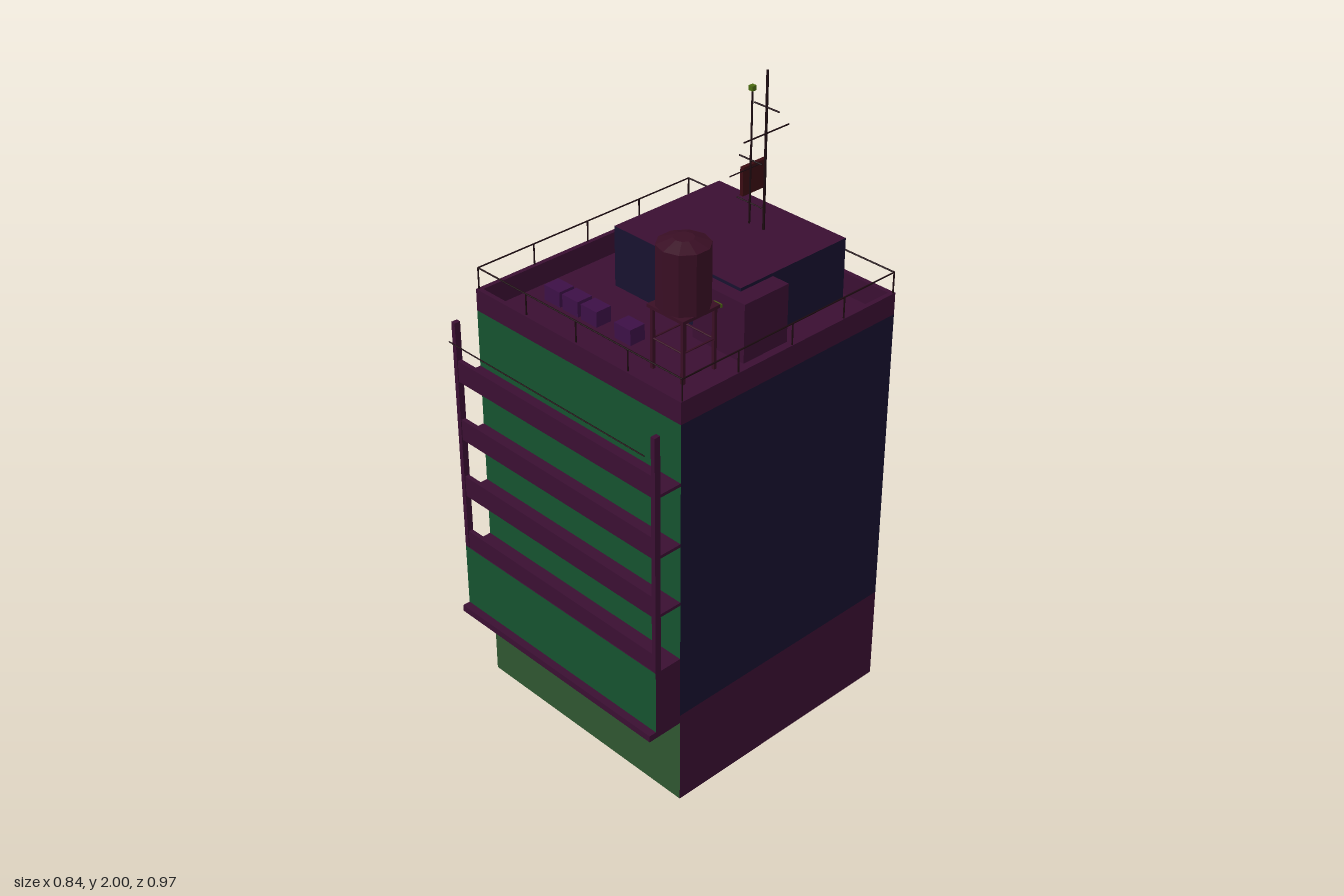
import * as THREE from 'three';

const mat = (color, side = THREE.FrontSide) =>
  new THREE.MeshStandardMaterial({ color, side, flatShading: true });
const PLUM = 0x3a0f32, NAVY = 0x17112f, GREEN = 0x15522f, MOSS = 0x2f5530;
const VIOLET = 0x3c1046, DARK = 0x1c0a10, RUST = 0x3a0c12, TANK = 0x390e24, LAMP = 0x4a6a10;

// Footprint of the tower and its main levels
const X = 0.42, Z0 = -0.48, Z1 = 0.365, BASE = 0.32, DECK = 1.315, TOP = 1.385;
const DEPTH = Z1 - Z0, ZM = (Z0 + Z1) / 2;

export function createModel() {
  const model = new THREE.Group();
  model.name = 'officeTower';

  const add = (parent, name, geometry, material) => {
    const mesh = new THREE.Mesh(geometry, material);
    mesh.name = name;
    parent.add(mesh);
    return mesh;
  };
  const group = (name) => {
    const g = new THREE.Group();
    g.name = name;
    model.add(g);
    return g;
  };
  // Box given by its lower and upper corners
  const box = (parent, name, a, b, material) => {
    const m = add(parent, name, new THREE.BoxGeometry(b[0] - a[0], b[1] - a[1], b[2] - a[2]),
      Array.isArray(material) ? material : mat(material));
    m.position.set((a[0] + b[0]) / 2, (a[1] + b[1]) / 2, (a[2] + b[2]) / 2);
    return m;
  };
  // Thin round bar between two points
  const bar = (parent, name, a, b, r = 0.003, color = DARK) => {
    const p = new THREE.Vector3(...a), d = new THREE.Vector3(...b).sub(p);
    const m = add(parent, name, new THREE.CylinderGeometry(r, r, d.length(), 6), mat(color));
    m.position.copy(p).addScaledVector(d, 0.5);
    m.quaternion.setFromUnitVectors(new THREE.Vector3(0, 1, 0), d.normalize());
    return m;
  };

  // Hollow tower shell, open below: four wall sheets for each storey zone
  const shell = group('towerShell');
  const wall = (name, width, y0, y1, x, z, turn, color) => {
    const m = add(shell, name, new THREE.PlaneGeometry(width, y1 - y0), mat(color, THREE.DoubleSide));
    m.position.set(x, (y0 + y1) / 2, z);
    m.rotation.y = turn;
  };
  const zone = (name, y0, y1, front, back, side) => {
    wall(name + 'Front', 2 * X, y0, y1, 0, Z1, 0, front);
    wall(name + 'Back', 2 * X, y0, y1, 0, Z0, Math.PI, back);
    for (const s of [-1, 1]) wall(name + 'Side', DEPTH, y0, y1, s * X, ZM, s * Math.PI / 2, side);
  };
  zone('groundFloor', 0, BASE, MOSS, PLUM, PLUM);
  zone('upperFloors', BASE, DECK, GREEN, GREEN, NAVY);

  // Roof deck with a thin parapet around it
  const deck = add(model, 'roofDeck', new THREE.PlaneGeometry(2 * X, DEPTH), mat(PLUM, THREE.DoubleSide));
  deck.rotation.x = -Math.PI / 2;
  deck.position.set(0, DECK, ZM);
  const rect = (P, w, h) => {
    const p = new P();
    p.moveTo(-w, -h); p.lineTo(w, -h); p.lineTo(w, h); p.lineTo(-w, h); p.closePath();
    return p;
  };
  const ring = rect(THREE.Shape, X, DEPTH / 2);
  ring.holes.push(rect(THREE.Path, X - 0.015, DEPTH / 2 - 0.015));
  const parapet = add(model, 'parapet',
    new THREE.ExtrudeGeometry(ring, { depth: TOP - DECK, bevelEnabled: false }), mat(PLUM));
  parapet.rotation.x = -Math.PI / 2;
  parapet.position.set(0, DECK, ZM);

  // Balcony front: ledge, closed first floor, posts, bands and slabs
  const balcony = group('balconies');
  box(balcony, 'ledge', [-X, 0.293, Z1], [X, 0.315, 0.485], PLUM);
  const plum = mat(PLUM);
  box(balcony, 'firstFloorBay', [-X, 0.315, Z1], [X, 0.53, 0.46],
    [plum, plum, plum, plum, mat(GREEN), plum]);
  for (const s of [-1, 1])
    box(balcony, 'post', [s * 0.4125 - 0.0075, 0.53, 0.44], [s * 0.4125 + 0.0075, DECK, 0.46], PLUM);
  for (let i = 0; i < 4; i++) {
    const y = 0.52 + i * 0.2;
    box(balcony, 'band', [-0.405, y, 0.443], [0.405, y + 0.07, 0.457], PLUM);
    if (i) box(balcony, 'slab', [-X, y, Z1], [X, y + 0.01, 0.443], PLUM);
  }
  bar(balcony, 'topRail', [-0.405, 1.265, 0.483], [0.405, 1.265, 0.483], 0.002);

  // Railing standing on the parapet
  const railing = group('roofRailing');
  const rx = 0.416, rz0 = Z0 + 0.006, rz1 = Z1 - 0.008, ry = 1.452;
  const corners = [[-rx, rz0], [rx, rz0], [rx, rz1], [-rx, rz1]];
  corners.forEach(([x, z], i) => {
    const [nx, nz] = corners[(i + 1) % 4];
    bar(railing, 'handrail', [x, ry, z], [nx, ry, nz], 0.0025);
    for (let k = 0; k < 4; k++) {
      const px = x + (nx - x) * k / 4, pz = z + (nz - z) * k / 4;
      bar(railing, 'railPost', [px, TOP - 0.01, pz], [px, ry, pz], 0.0025);
    }
  });

  // Rooftop plant rooms
  const navy = mat(NAVY);
  box(model, 'plantRoom', [-0.255, DECK, -0.445], [0.255, 1.51, -0.02],
    [navy, navy, plum, navy, navy, navy]);
  box(model, 'stairHouse', [0.115, DECK, -0.147], [0.315, 1.5, 0.025], PLUM);
  box(model, 'doorLamp', [0.2, 1.458, 0.025], [0.23, 1.468, 0.03], LAMP);

  // Row of air conditioning units
  for (const x of [-0.3, -0.222, -0.142, -0.002])
    box(model, 'airUnit', [x - 0.033, DECK, 0.13], [x + 0.033, DECK + 0.05, 0.185], VIOLET);

  // Water tank on a braced stand
  const tank = group('waterTank');
  tank.position.set(0.217, 0, 0.16);
  const body = add(tank, 'tankBody', new THREE.CylinderGeometry(0.077, 0.077, 0.187, 10), mat(TANK));
  body.position.y = 1.608;
  const lid = add(tank, 'tankLid', new THREE.CylinderGeometry(0.03, 0.077, 0.018, 10), mat(TANK));
  lid.position.y = 1.71;
  box(tank, 'standTop', [-0.07, 1.506, -0.07], [0.07, 1.516, 0.07], TANK);
  const L = 0.059, feet = [[-L, -L], [L, -L], [L, L], [-L, L]];
  feet.forEach(([x, z], i) => {
    const [nx, nz] = feet[(i + 1) % 4];
    box(tank, 'standLeg', [x - 0.005, DECK, z - 0.005], [x + 0.005, 1.51, z + 0.005], TANK);
    bar(tank, 'standBrace', [x, 1.41, z], [nx, 1.41, nz], 0.003, TANK);
  });

  // Aerial masts with cross arms, panel and beacon
  const aerials = group('aerials');
  bar(aerials, 'tallMast', [0.057, 1.5, -0.313], [0.057, 2, -0.313], 0.004);
  bar(aerials, 'tallMastArm', [0.01, 1.89, -0.313], [0.105, 1.89, -0.313], 0.0025);
  bar(aerials, 'tallMastArm', [0.057, 1.81, -0.405], [0.057, 1.81, -0.225], 0.0025);
  bar(aerials, 'shortMast', [0, 1.5, -0.313], [0, 1.745, -0.313], 0.003);
  bar(aerials, 'shortMastArm', [-0.045, 1.71, -0.313], [0.045, 1.71, -0.313], 0.0025);
  bar(aerials, 'shortMastArm', [-0.052, 1.575, -0.313], [0.052, 1.575, -0.313], 0.002);
  bar(aerials, 'shortMastArm', [0, 1.685, -0.36], [0, 1.685, -0.23], 0.002);
  bar(aerials, 'beaconMast', [-0.023, 1.5, -0.338], [-0.023, 1.915, -0.338], 0.003);
  box(aerials, 'beacon', [-0.031, 1.908, -0.346], [-0.015, 1.923, -0.33], LAMP);
  box(aerials, 'panelAntenna', [-0.018, 1.6, -0.385], [-0.006, 1.69, -0.29], RUST);

  return model;
}
